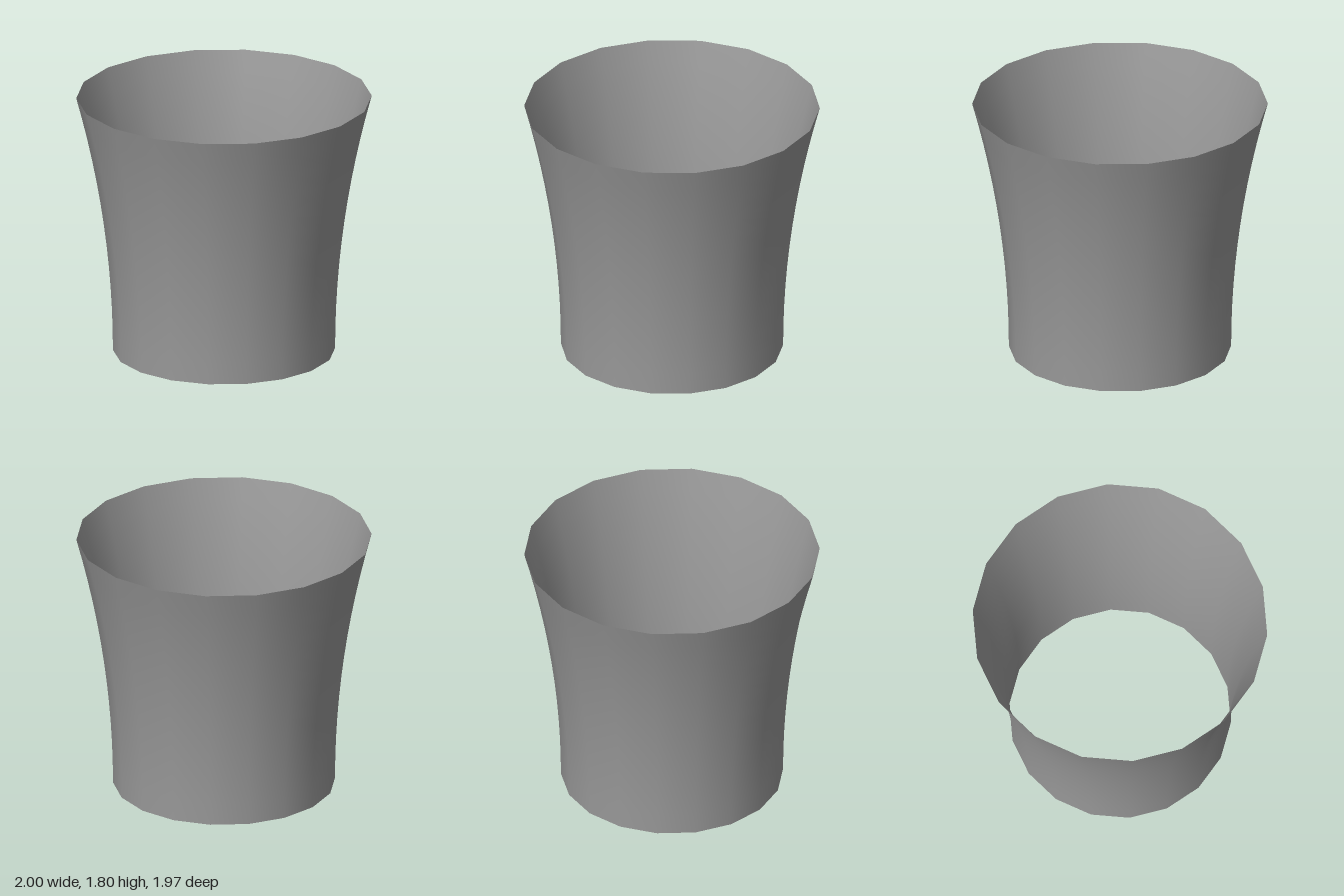
import * as THREE from 'three';

const SIDES = 18, STEPS = 12, HEIGHT = 1.8;
const BASE_RADIUS = 0.752, RIM_RADIUS = 1;

export function createModel() {
  const group = new THREE.Group();
  group.name = 'flaredSleeve';

  // Wall profile: vertical at the base, flaring quadratically to the rim
  const profile = [];
  for (let i = 0; i <= STEPS; i++) {
    const t = i / STEPS;
    profile.push(new THREE.Vector2(BASE_RADIUS + (RIM_RADIUS - BASE_RADIUS) * t * t, HEIGHT * t));
  }

  // Thin wall, open at both ends, with a corner on the x axis
  const wall = new THREE.Mesh(
    new THREE.LatheGeometry(profile, SIDES, Math.PI / 2),
    new THREE.MeshStandardMaterial({ color: 0x999999, side: THREE.DoubleSide })
  );
  wall.name = 'flaredWall';
  group.add(wall);
  return group;
}
